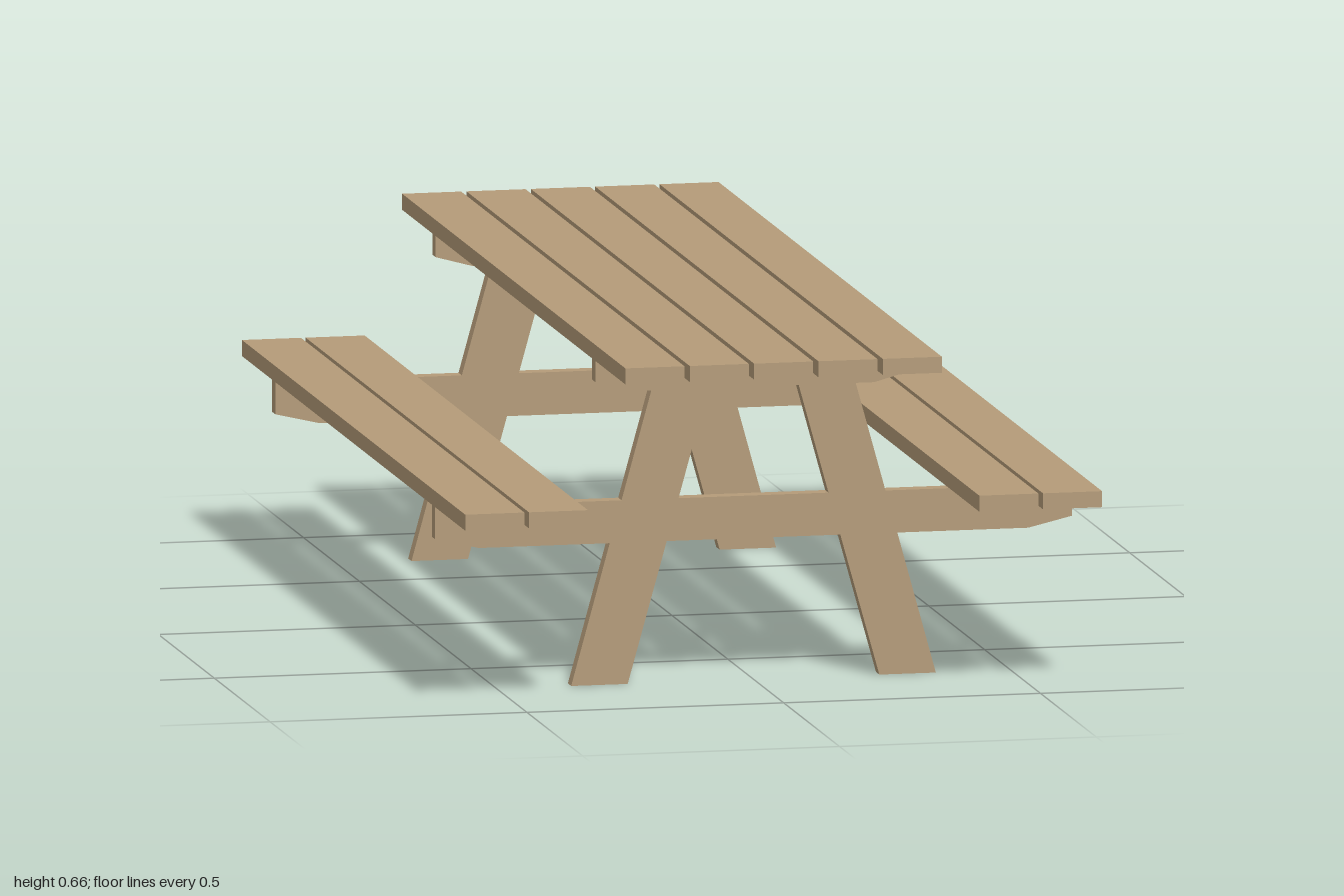
import * as THREE from 'three';

const wood = new THREE.MeshStandardMaterial({ color: 0xb49b79 });
wood.name = 'wood';

const LENGTH = 2, PLANK_W = 0.115, PLANK_H = 0.031;
const SEAT_Y = 0.355, TOP_Y = 0.626, FRAME_T = 0.03;

// One plank running the full length, resting on height y
function plank(name, x, y) {
  const mesh = new THREE.Mesh(new THREE.BoxGeometry(PLANK_W, PLANK_H, LENGTH), wood);
  mesh.name = name;
  mesh.position.set(x, y + PLANK_H / 2, 0);
  return mesh;
}

// End frame: two splayed legs, seat beam and top beam cut as one flat piece
function frameGeometry() {
  const half = [
    [0.169, 0.273], [0.245, 0], [0.355, 0], [0.28, 0.273], // lower leg
    [0.535, 0.273], [0.62, 0.293], [0.62, SEAT_Y], [0.257, SEAT_Y], // seat beam
    [0.199, 0.565], [0.235, 0.565], [0.308, 0.585], [0.308, TOP_Y], // top beam
  ];
  const mirrored = half.map(([x, y]) => [-x, y]).reverse();
  const toPoints = (list) => list.map(([x, y]) => new THREE.Vector2(x, y));
  const shape = new THREE.Shape(toPoints([...half, ...mirrored]));
  // Opening between the upper legs
  shape.holes.push(new THREE.Path(toPoints([
    [-0.146, SEAT_Y], [-0.088, 0.565], [0.088, 0.565], [0.146, SEAT_Y],
  ])));
  const geometry = new THREE.ExtrudeGeometry(shape, { depth: FRAME_T, bevelEnabled: false });
  return geometry.translate(0, 0, -FRAME_T / 2);
}

export function createModel() {
  const model = new THREE.Group();
  model.name = 'picnicTable';

  // Table top
  const top = new THREE.Group();
  top.name = 'tableTop';
  for (let i = -2; i <= 2; i++) top.add(plank('topPlank', i * 0.1253, TOP_Y));
  model.add(top);

  // Benches
  for (const side of [-1, 1]) {
    const bench = new THREE.Group();
    bench.name = side > 0 ? 'leftBench' : 'rightBench';
    for (const x of [0.4385, 0.5625]) bench.add(plank('seatPlank', side * x, SEAT_Y));
    model.add(bench);
  }

  // End frames
  const geometry = frameGeometry();
  for (const side of [-1, 1]) {
    const frame = new THREE.Mesh(geometry, wood);
    frame.name = side > 0 ? 'frontFrame' : 'backFrame';
    frame.position.z = side * 0.715;
    model.add(frame);
  }
  return model;
}
